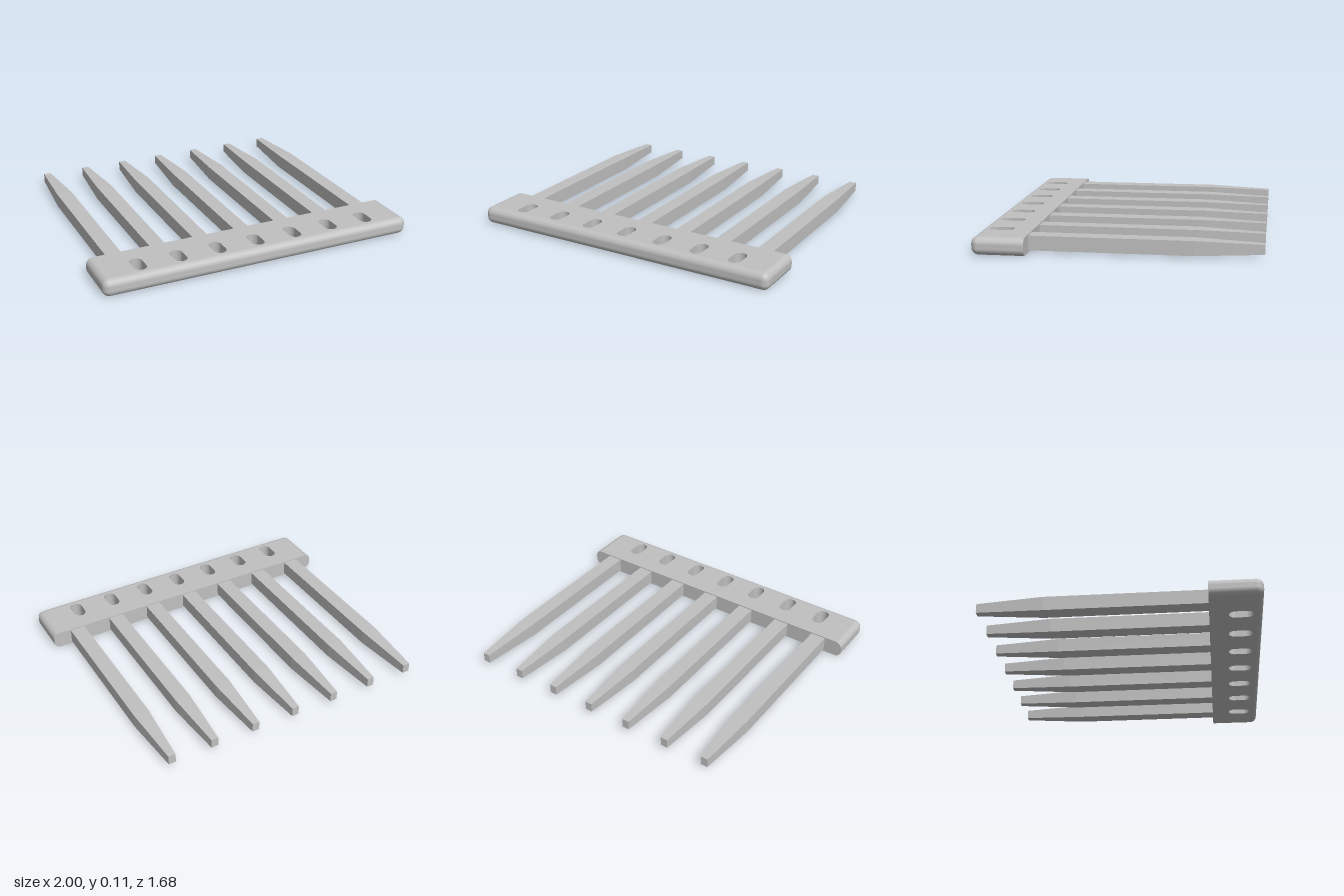
import * as THREE from 'three';

const H = 0.108, BACK = 0.525, FRONT = 0.84, R = 0.042;

// Edge profile, bottom to top: tilt angle and height of the arc centre
function edgeProfile(steps = 8) {
  const pts = [];
  for (let half = 0; half < 2; half++) {
    for (let k = 0; k <= steps; k++) {
      const a = (k / steps - 1 + half) * Math.PI / 2;
      pts.push({ out: Math.cos(a), up: Math.sin(a), y: (half ? H - R : R) + R * Math.sin(a) });
    }
  }
  return pts;
}

// Rounded rim swept round both ends and the front
function rimGeometry(profile) {
  const path = [];
  const steps = 8;
  path.push([1 - R, BACK, 0]);
  for (let k = 0; k <= steps; k++) path.push([1 - R, FRONT - R, k / steps * Math.PI / 2]);
  for (let k = 0; k <= steps; k++) path.push([R - 1, FRONT - R, (1 + k / steps) * Math.PI / 2]);
  path.push([R - 1, BACK, Math.PI]);

  const pos = [], nor = [], idx = [], n = profile.length;
  path.forEach(([x, z, a], i) => {
    profile.forEach((p, j) => {
      const nx = Math.cos(a) * p.out, nz = Math.sin(a) * p.out;
      pos.push(x + R * nx, p.y, z + R * nz);
      nor.push(nx, p.up, nz);
      if (i < path.length - 1 && j < n - 1) {
        const q = i * n + j;
        idx.push(q, q + 1, q + n, q + 1, q + n + 1, q + n);
      }
    });
  });
  const g = new THREE.BufferGeometry();
  g.setAttribute('position', new THREE.Float32BufferAttribute(pos, 3));
  g.setAttribute('normal', new THREE.Float32BufferAttribute(nor, 3));
  g.setIndex(idx);
  return g;
}

// Flat middle of the bar, pierced by seven slots
function coreGeometry() {
  const w = 1 - R;
  const shape = new THREE.Shape([[-w, R - FRONT], [w, R - FRONT], [w, -BACK], [-w, -BACK]]
    .map(([x, y]) => new THREE.Vector2(x, y)));
  const r = 0.039, z0 = 0.64 + r, z1 = 0.785 - r;
  for (let i = -3; i <= 3; i++) {
    const hole = new THREE.Path();
    hole.absarc(i * 0.25, -z0, r, 0, Math.PI, false);
    hole.absarc(i * 0.25, -z1, r, Math.PI, Math.PI * 2, false);
    hole.closePath();
    shape.holes.push(hole);
  }
  return new THREE.ExtrudeGeometry(shape, { depth: H, bevelEnabled: false, curveSegments: 12 })
    .rotateX(-Math.PI / 2);
}

// Square tine narrowing towards its tip
function tineGeometry() {
  const g = new THREE.BoxGeometry(1, 1, 1, 1, 1, 2);
  const p = g.attributes.position;
  for (let i = 0; i < p.count; i++) {
    const z = p.getZ(i), tip = z < -0.25;
    p.setXYZ(i,
      p.getX(i) * (tip ? 0.045 : 0.097),
      0.057 + p.getY(i) * (tip ? 0.058 : 0.088),
      tip ? -FRONT : z > 0.25 ? BACK + 0.02 : -0.44);
  }
  const flat = g.toNonIndexed();
  flat.computeVertexNormals();
  return flat;
}

export function createModel() {
  const grey = new THREE.MeshStandardMaterial({ color: 0xc0c0c0 });
  grey.name = 'grey';
  const model = new THREE.Group();
  model.name = 'rakeHead';
  const add = (name, geometry, parent = model) => {
    const mesh = new THREE.Mesh(geometry, grey);
    mesh.name = name;
    parent.add(mesh);
    return mesh;
  };

  // Bar
  const bar = new THREE.Group();
  bar.name = 'bar';
  model.add(bar);
  const profile = edgeProfile();
  add('slottedCore', coreGeometry(), bar);
  add('roundedRim', rimGeometry(profile), bar);
  for (const s of [-1, 1]) {
    const end = new THREE.Shape(profile.map(p => new THREE.Vector2(s * (1 - R + R * p.out), p.y)));
    add('rimEnd', new THREE.ShapeGeometry(end).rotateY(Math.PI).translate(0, 0, BACK), bar);
  }

  // Tines
  const tine = tineGeometry();
  for (let i = -3; i <= 3; i++) add('tine', tine).position.x = i * 0.277;

  return model;
}
